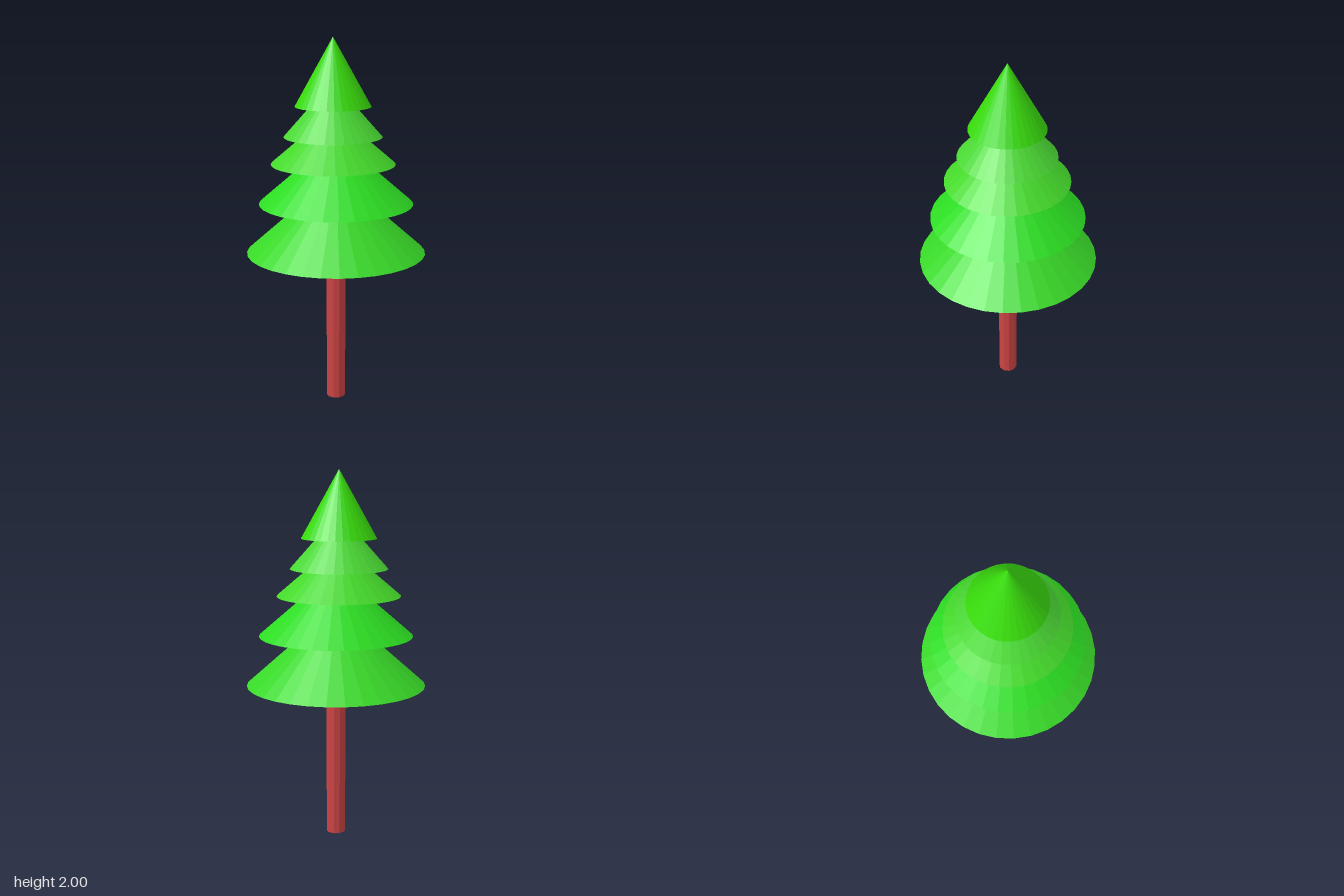
import * as THREE from 'three';

const material = (color) => new THREE.MeshStandardMaterial({ color, flatShading: true });

// Foliage cones from the bottom up; the upper three sit slightly off centre
const TIERS = [
  { base: 0.85, apex: 1.28, radius: 0.485, x: 0, color: 0x38d828 },
  { base: 1.12, apex: 1.48, radius: 0.415, x: 0, color: 0x2cdc22 },
  { base: 1.335, apex: 1.62, radius: 0.333, x: -0.015, color: 0x44d82a },
  { base: 1.48, apex: 1.775, radius: 0.262, x: -0.016, color: 0x4ad834 },
  { base: 1.64, apex: 2.0, radius: 0.202, x: -0.016, color: 0x38dc0c },
];

export function createModel() {
  const tree = new THREE.Group();
  tree.name = 'pineTree';

  // Ten-sided trunk with corners on the x axis
  const trunkHeight = 0.86;
  const trunk = new THREE.Mesh(
    new THREE.CylinderGeometry(0.052, 0.052, trunkHeight, 10).rotateY(Math.PI / 2),
    material(0xcc4444),
  );
  trunk.name = 'trunk';
  trunk.position.y = trunkHeight / 2;
  tree.add(trunk);

  // Stacked closed cones
  TIERS.forEach(({ base, apex, radius, x, color }, i) => {
    const tier = new THREE.Mesh(new THREE.ConeGeometry(radius, apex - base, 32), material(color));
    tier.name = `foliageTier${i + 1}`;
    tier.position.set(x, (base + apex) / 2, 0);
    tree.add(tier);
  });

  return tree;
}
